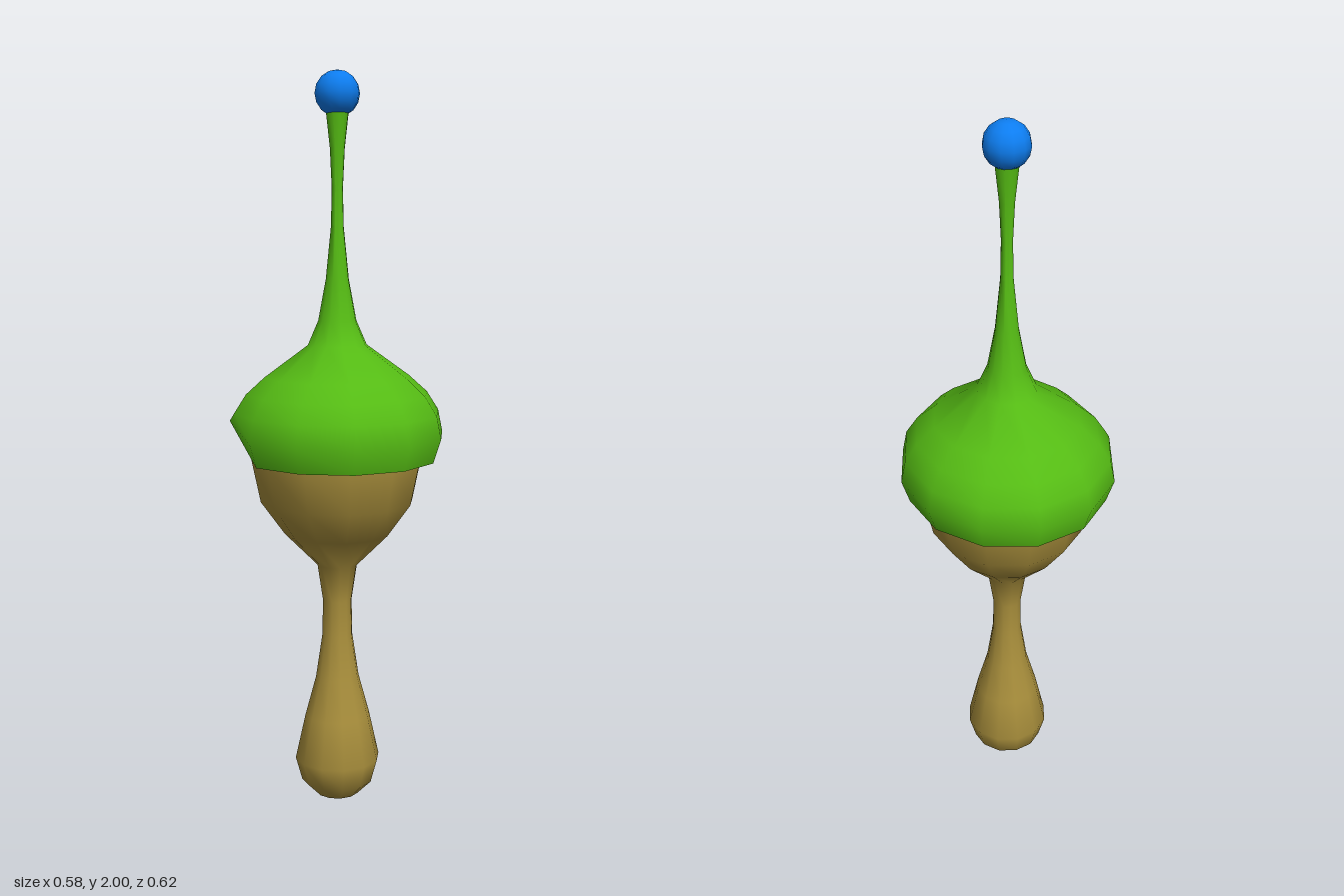
import * as THREE from 'three';
import { toCreasedNormals } from 'three/addons/utils/BufferGeometryUtils.js';

const SIDES = 12;
const material = (color) => new THREE.MeshStandardMaterial({ color, side: THREE.DoubleSide });
const lathe = (points) =>
  new THREE.LatheGeometry(points.map(([r, y]) => new THREE.Vector2(r, y)), SIDES);

function addPart(group, name, geometry, color) {
  const mesh = new THREE.Mesh(geometry, material(color));
  mesh.name = name;
  group.add(mesh);
  return mesh;
}

export function createModel() {
  const group = new THREE.Group();
  group.name = 'capped spindle';

  // Brown bulb, narrow neck and flared cup, closed inside the cap
  const body = lathe([
    [0, 0.005], [0.06, 0.02], [0.1, 0.06], [0.118, 0.125], [0.09, 0.25],
    [0.06, 0.36], [0.042, 0.48], [0.04, 0.58], [0.055, 0.68], [0.145, 0.77],
    [0.21, 0.86], [0.235, 0.98], [0.235, 1.08], [0, 1.12],
  ]);
  addPart(group, 'lowerBody', toCreasedNormals(body, 1.0), 0xa98f3c);

  // Green cap drawn out into a slim stem, slightly narrower across x
  const cap = lathe([
    [0.225, 0.98], [0.288, 0.98], [0.31, 1.045], [0.297, 1.105], [0.263, 1.155],
    [0.21, 1.2], [0.085, 1.285], [0.055, 1.35], [0.033, 1.46], [0.018, 1.6],
    [0.016, 1.7], [0.021, 1.8], [0.034, 1.91],
  ]);
  cap.scale(0.94, 1, 1);

  // Notch in the rim: lift the lowest points on the -x side
  const p = cap.attributes.position;
  for (let i = 0; i < p.count; i++) {
    const onNotch = p.getX(i) < -0.1 && Math.abs(p.getZ(i)) < 0.01;
    if (!onNotch || p.getY(i) > 1.06) continue;
    const outer = p.getX(i) < -0.25;
    p.setXYZ(i, outer ? -0.291 : -0.212, 1.085, 0);
  }
  addPart(group, 'capAndStem', toCreasedNormals(cap, 1.0), 0x55bb14);

  // Blue bead on the tip
  const bead = new THREE.SphereGeometry(0.06, SIDES, 8);
  addPart(group, 'tipBead', bead, 0x0d7df0).position.y = 1.94;

  return group;
}
